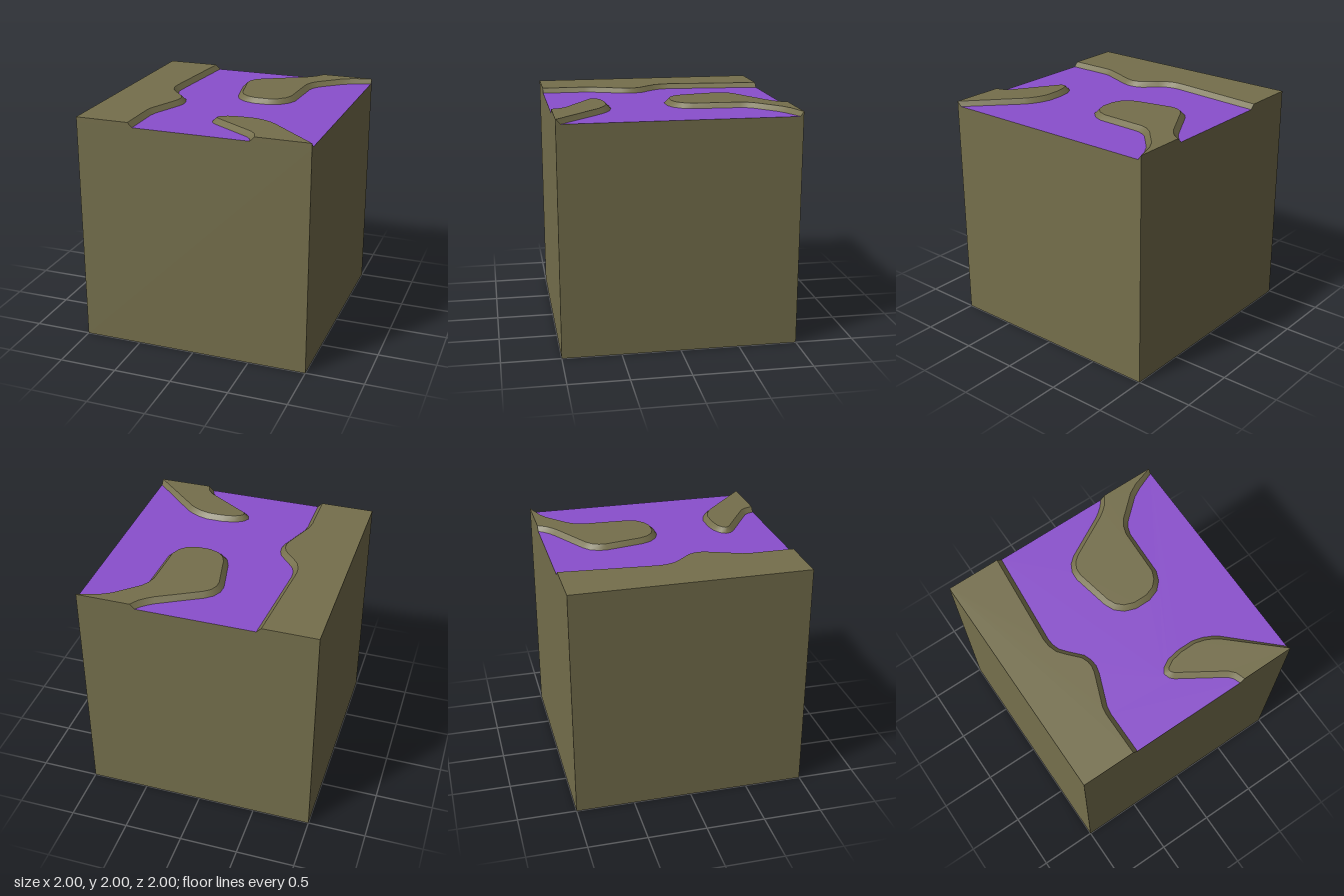
import * as THREE from 'three';
import { toCreasedNormals } from 'three/addons/utils/BufferGeometryUtils.js';

const TOP = 2, FLOOR = 1.96, SLOPE = 0.04;

// Each bank: foot line [x, z] with the raised ground on its left, the two ends
// of the rim line, and the block corners that close the outline.
const banks = [
  {
    name: 'leftBank',
    foot: [[-0.5, 1], [-0.5, 0.63], [-0.49, 0.565], [-0.385, 0.295], [-0.37, 0.23], [-0.375, 0.165],
      [-0.4, 0.1], [-0.5, -0.01], [-0.54, -0.06], [-0.56, -0.12], [-0.565, -0.18], [-0.5, -1]],
    ends: [[-0.54, 1], [-0.54, -1]],
    corners: [[-1, -1], [-1, 1]],
  },
  {
    name: 'backPeninsula',
    foot: [[0.5, -1], [0.465, -0.955], [0.42, -0.915], [0.37, -0.88], [0.02, -0.69], [-0.04, -0.64],
      [-0.075, -0.57], [-0.08, -0.495], [-0.015, -0.175], [0.02, -0.095], [0.085, -0.035], [0.18, 0],
      [0.315, 0], [0.41, -0.035], [0.475, -0.1], [0.51, -0.185], [0.525, -0.585], [0.545, -0.65],
      [0.58, -0.7], [0.76, -0.86], [0.84, -0.905], [1, -0.97]],
    ends: [[0.54, -1], [1, -0.998]],
    corners: [[1, -1]],
  },
  {
    name: 'frontPeninsula',
    foot: [[1, 0.96], [0.605, 0.585], [0.555, 0.55], [0.485, 0.515], [0.395, 0.49], [0.255, 0.49],
      [0.14, 0.51], [0.07, 0.55], [0.04, 0.595], [0.055, 0.645], [0.085, 0.675], [0.445, 0.905],
      [0.48, 0.945], [0.5, 1]],
    ends: [[1, 0.998], [0.54, 1]],
    corners: [[1, 1]],
  },
];

// Rim line: the foot line moved sideways onto the raised ground
function rimOf({ foot, ends }) {
  const normal = (a, b) => new THREE.Vector2(b[1] - a[1], a[0] - b[0]).normalize();
  return foot.map((p, i) => {
    if (i === 0) return ends[0];
    if (i === foot.length - 1) return ends[1];
    const n0 = normal(foot[i - 1], p), n1 = normal(p, foot[i + 1]);
    const k = SLOPE / (1 + n0.dot(n1));
    return [p[0] + (n0.x + n1.x) * k, p[1] + (n0.y + n1.y) * k];
  });
}

// Level face filling an outline
function levelFace(outline, y) {
  const shape = new THREE.Shape(outline.map(([x, z]) => new THREE.Vector2(x, -z)));
  return new THREE.ShapeGeometry(shape).rotateX(-Math.PI / 2).translate(0, y, 0);
}

// Band of quads between a lower and an upper outline
function band(lower, upper) {
  const pos = [];
  lower.forEach((a, i) => {
    const j = (i + 1) % lower.length;
    const b = lower[j], c = upper[j], d = upper[i];
    pos.push(a[0], FLOOR, a[1], b[0], FLOOR, b[1], c[0], TOP, c[1]);
    pos.push(a[0], FLOOR, a[1], c[0], TOP, c[1], d[0], TOP, d[1]);
  });
  const geometry = new THREE.BufferGeometry();
  geometry.setAttribute('position', new THREE.Float32BufferAttribute(pos, 3));
  geometry.computeVertexNormals();
  return toCreasedNormals(geometry, 0.7);
}

export function createModel() {
  const earth = new THREE.MeshStandardMaterial({ color: 0x756f4c });
  earth.name = 'earthBrown';
  const purple = new THREE.MeshStandardMaterial({ color: 0x8a4fcd });
  purple.name = 'riverPurple';

  const model = new THREE.Group();
  model.name = 'riverTile';
  const add = (parent, name, geometry, material) => {
    const mesh = new THREE.Mesh(geometry, material);
    mesh.name = name;
    parent.add(mesh);
  };

  // Block walls and underside, open at the top
  const box = new THREE.BoxGeometry(2, FLOOR, 2).translate(0, FLOOR / 2, 0);
  const faces = Array.from(box.index.array);
  faces.splice(12, 6);
  box.setIndex(faces);
  box.clearGroups();
  add(model, 'block', box, earth);

  // River surface between the foot lines
  add(model, 'river', levelFace(banks.flatMap((b) => b.foot), FLOOR), purple);

  // Raised banks with sloping sides
  for (const bank of banks) {
    const group = new THREE.Group();
    group.name = bank.name;
    const lower = [...bank.foot, ...bank.corners];
    const upper = [...rimOf(bank), ...bank.corners];
    add(group, bank.name + 'Top', levelFace(upper, TOP), earth);
    add(group, bank.name + 'Slope', band(lower, upper), earth);
    model.add(group);
  }
  return model;
}
